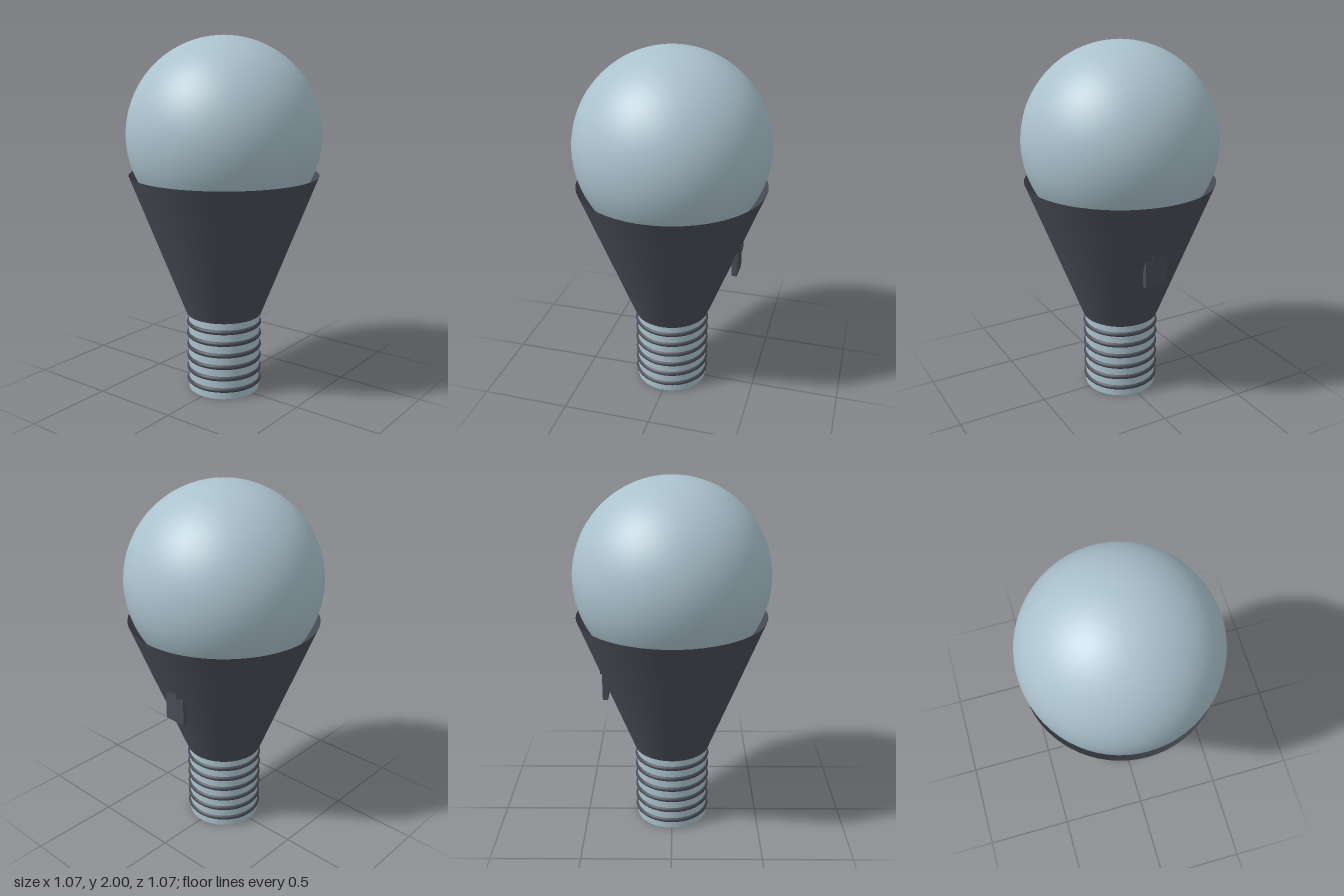
import * as THREE from 'three';

export function createModel() {
  const model = new THREE.Group();
  const paleBlue = new THREE.MeshStandardMaterial({ color: 0xabc2cd });
  paleBlue.name = 'paleBlueGrey';
  const charcoal = new THREE.MeshStandardMaterial({ color: 0x4a4c56, side: THREE.DoubleSide });
  charcoal.name = 'charcoal';

  const add = (name, geometry, material, x, y, z) => {
    const mesh = new THREE.Mesh(geometry, material);
    mesh.name = name;
    mesh.position.set(x, y, z);
    model.add(mesh);
    return mesh;
  };

  // Round globe resting in the cone
  add('globe', new THREE.SphereGeometry(0.535, 64, 48), paleBlue, 0, 1.465, 0);

  // Flared open cone
  add('coneShell', new THREE.CylinderGeometry(0.525, 0.213, 0.8, 64, 1, true), charcoal, 0, 0.85, 0);

  // Flat ring closing the cone around the neck
  add('coneFloor', new THREE.CircleGeometry(0.213, 64).rotateX(Math.PI / 2), charcoal, 0, 0.45, 0);

  // Neck with grip rings
  add('neck', new THREE.CylinderGeometry(0.203, 0.203, 0.46, 64), paleBlue, 0, 0.23, 0);
  const ring = new THREE.TorusGeometry(0.2, 0.014, 12, 64).rotateX(Math.PI / 2);
  for (let i = 0; i < 6; i++) {
    add('gripRing' + (i + 1), ring, charcoal, 0, 0.053 + i * 0.0685, 0);
  }

  // Switch plate and round button on the back
  add('switchPlate', new THREE.BoxGeometry(0.13, 0.18, 0.03), charcoal, 0, 0.85, -0.375);
  add('switchButton', new THREE.CylinderGeometry(0.031, 0.031, 0.045, 32).rotateX(Math.PI / 2),
    charcoal, 0, 0.925, -0.382);

  return model;
}
